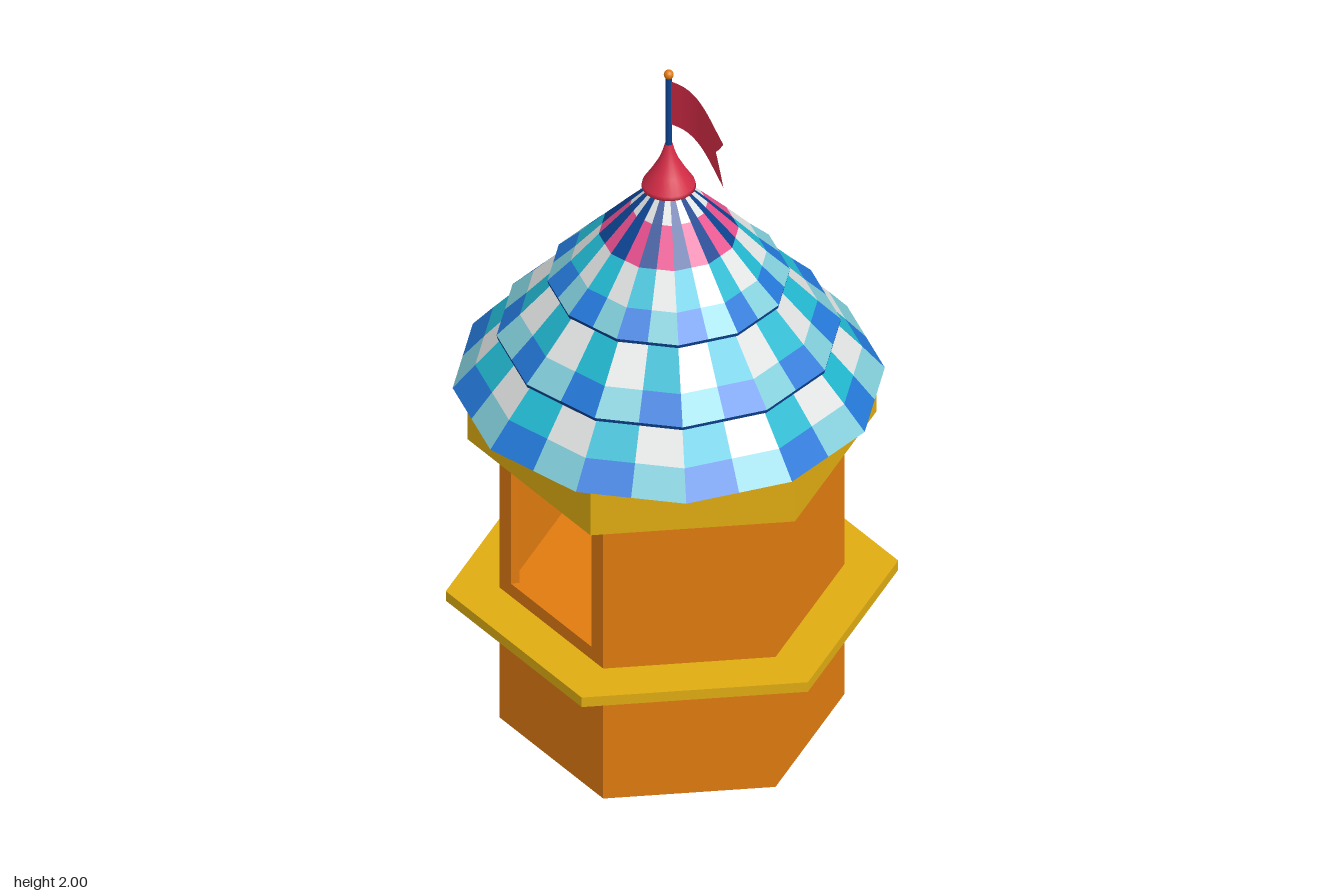
import * as THREE from 'three';

const paint = (name, color, side = THREE.FrontSide) => {
  const m = new THREE.MeshStandardMaterial({ color, side });
  m.name = name;
  return m;
};

// flat facets with plain (non-flatShading) materials
const flat = (g) => {
  const f = g.index ? g.toNonIndexed() : g;
  f.computeVertexNormals();
  return f;
};

export function createModel() {
  const D = THREE.DoubleSide;
  const orange = paint('orange', 0xe07b10);
  const yellow = paint('yellow', 0xe0ac12);
  const red = paint('red', 0xd62c47, D);
  const pink = paint('pink', 0xe8508f, D);
  const white = paint('white', 0xe0e2e2, D);
  const cyan = paint('cyan', 0x22b8d0, D);
  const paleBlue = paint('paleBlue', 0x80ccd8, D);
  const blue = paint('blue', 0x2478d8, D);
  const navy = paint('navy', 0x0c4390, D);

  const model = new THREE.Group();
  const add = (parent, name, geo, mat, x = 0, y = 0, z = 0) => {
    const m = new THREE.Mesh(geo, mat);
    m.name = name;
    m.position.set(x, y, z);
    parent.add(m);
    return m;
  };
  // six-sided slab with corners on the x axis, from y0 to y1
  const hexSlab = (name, r, y0, y1, mat) =>
    add(model, name, flat(new THREE.CylinderGeometry(r, r, y1 - y0, 6, 1, false, Math.PI / 2)),
      mat, 0, (y0 + y1) / 2);

  // hollow six-sided body; the front wall has a window opening
  const R = 0.445, A = R * Math.cos(Math.PI / 6), T = 0.02, H = 0.89;
  const body = new THREE.Group();
  body.name = 'body';
  model.add(body);
  for (let i = 0; i < 6; i++) {
    const s = new THREE.Shape([[-R / 2, 0], [R / 2, 0], [R / 2, H], [-R / 2, H]]
      .map(([x, y]) => new THREE.Vector2(x, y)));
    if (i === 0) {
      s.holes.push(new THREE.Path([[-0.173, 0.45], [-0.173, 0.84], [0.173, 0.84], [0.173, 0.45]]
        .map(([x, y]) => new THREE.Vector2(x, y))));
    }
    const g = new THREE.ExtrudeGeometry(s, { depth: T, bevelEnabled: false });
    g.translate(0, 0, A - T);
    // mitre the inner side so neighbouring walls meet
    const p = g.attributes.position;
    for (let k = 0; k < p.count; k++) p.setX(k, p.getX(k) * p.getZ(k) / A);
    g.rotateY(i * Math.PI / 3);
    add(body, i === 0 ? 'windowWall' : 'wall', flat(g), orange);
  }
  hexSlab('base', R - 0.003, 0, 0.02, orange);
  hexSlab('innerFloor', R - 0.01, 0.39, 0.415, orange);
  hexSlab('balcony', 0.584, 0.38, 0.41, yellow);
  hexSlab('cornice', 0.528, 0.885, 1.03, yellow);

  // three tented tiers, each a 12-sided cone split into 24 chequered columns
  const top = new THREE.Group();
  top.name = 'roof';
  top.position.set(-0.01, 0, 0.003);
  model.add(top);
  const pairs = [[blue, paleBlue], [cyan, white], [navy, pink], [navy, white]];
  const point = (c, r, y) => {
    const a = THREE.MathUtils.degToRad(88 + 15 * c);
    const k = c % 2 ? r * Math.cos(Math.PI / 12) : r;
    return [k * Math.cos(a), y, -k * Math.sin(a)];
  };
  const quad = (out, c, r0, y0, r1, y1) => {
    const a = point(c, r0, y0), b = point(c + 1, r0, y0);
    const d = point(c, r1, y1), e = point(c + 1, r1, y1);
    out.push(...a, ...b, ...e, ...a, ...e, ...d);
  };
  const tiers = [
    { name: 'lowerTier', shift: 0, rows: [[0.556, 1.03], [0.498, 1.1], [0.424, 1.185], [0.26, 1.37]] },
    { name: 'middleTier', shift: 1, rows: [[0.443, 1.19], [0.383, 1.252], [0.297, 1.347], [0.15, 1.5]] },
    { name: 'upperTier', shift: 0, rows: [[0.312, 1.355], [0.252, 1.415], [0.18, 1.495], [0.1, 1.58], [0.035, 1.645]] },
  ];
  tiers.forEach(({ name, shift, rows }, t) => {
    const byColour = new Map();
    const bucket = (m) => byColour.get(m) || byColour.set(m, []).get(m);
    for (let c = 0; c < 24; c++) {
      for (let i = 0; i + 1 < rows.length; i++) {
        quad(bucket(pairs[i][(c + shift) % 2]), c, ...rows[i], ...rows[i + 1]);
      }
      // dark hem under the raised tiers
      if (t > 0) quad(bucket(navy), c, rows[0][0] - 0.002, rows[0][1] - 0.01, ...rows[0]);
    }
    const tier = new THREE.Group();
    tier.name = name;
    top.add(tier);
    for (const [m, list] of byColour) {
      const g = new THREE.BufferGeometry();
      g.setAttribute('position', new THREE.Float32BufferAttribute(list, 3));
      add(tier, m.name + 'Checks', flat(g), m);
    }
  });

  // flared cap, pole and ball
  const profile = [[0, 1.628], [0.055, 1.63], [0.07, 1.637], [0.068, 1.648], [0.045, 1.685],
    [0.026, 1.72], [0.015, 1.75], [0.01, 1.77]].map(([x, y]) => new THREE.Vector2(x, y));
  add(top, 'cap', new THREE.LatheGeometry(profile, 24), red);
  add(top, 'pole', new THREE.CylinderGeometry(0.008, 0.008, 0.24, 12), navy, 0, 1.86);
  add(top, 'ball', new THREE.SphereGeometry(0.013, 16, 10), orange, 0, 1.987);

  // waving swallow-tailed flag
  const flag = new THREE.PlaneGeometry(1, 1, 16, 8);
  const p = flag.attributes.position;
  for (let i = 0; i < p.count; i++) {
    const u = p.getX(i) + 0.5, v = p.getY(i);
    const x = u * (0.268 - 0.065 * (1 - Math.abs(2 * v)));
    const s = x / 0.268;
    p.setXYZ(i, x,
      1.9 - 0.037 * s + 0.012 * Math.sin(s * Math.PI * 2) + v * 0.135,
      -0.02 * Math.sin(s * Math.PI) + 0.025 * s * s);
  }
  flag.computeVertexNormals();
  add(top, 'flag', flag, red);

  return model;
}
